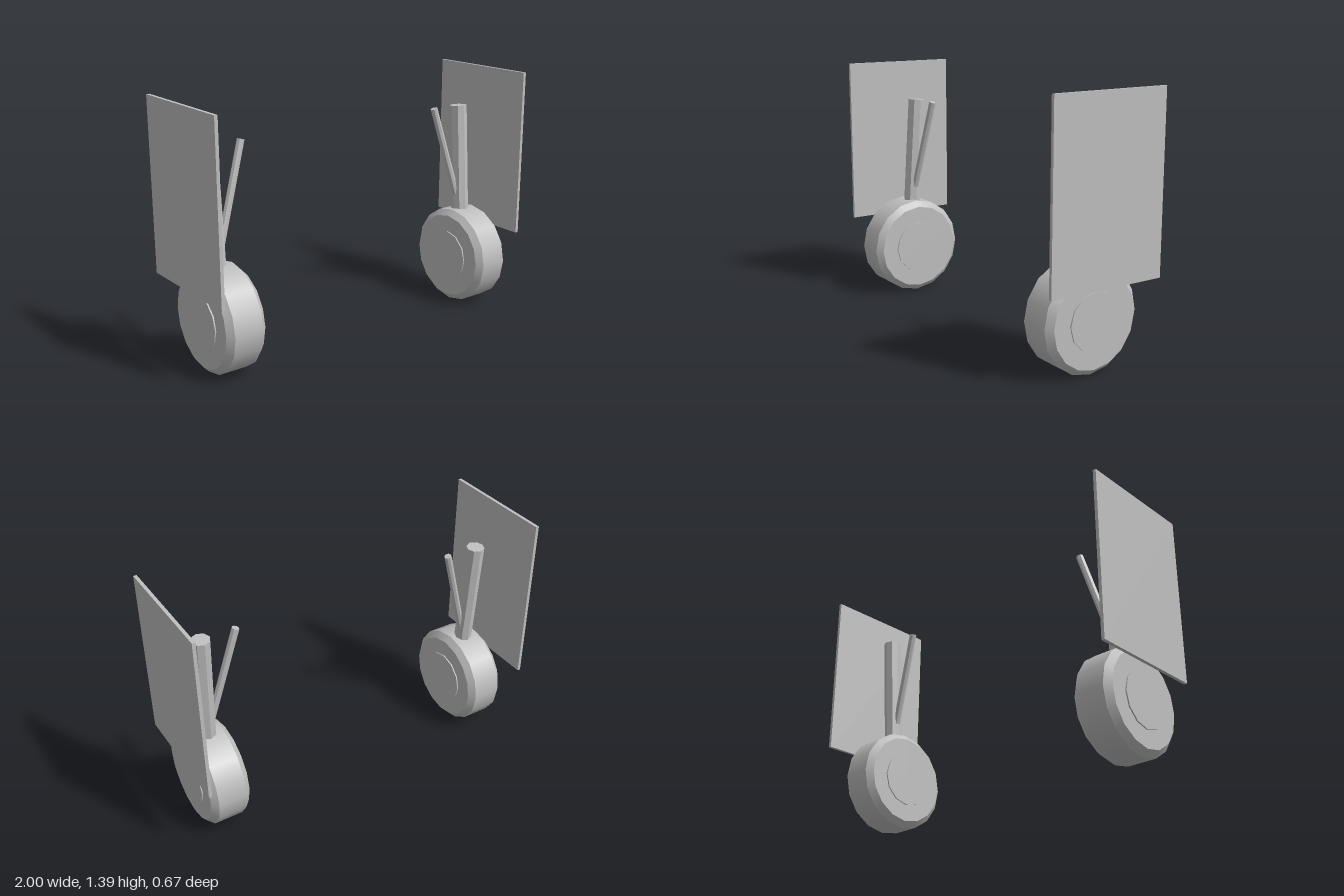
import * as THREE from 'three';

const grey = new THREE.MeshStandardMaterial({ color: 0xbfbfbf });
grey.name = 'grey metal';

function add(parent, name, geometry) {
  const mesh = new THREE.Mesh(geometry, grey);
  mesh.name = name;
  parent.add(mesh);
  return mesh;
}

// Faceted rod between two points
function rod(parent, name, from, to, radius) {
  const a = new THREE.Vector3(...from), b = new THREE.Vector3(...to);
  const dir = b.clone().sub(a);
  const geometry = new THREE.CylinderGeometry(radius, radius, dir.length(), 8).toNonIndexed();
  geometry.computeVertexNormals();
  const mesh = add(parent, name, geometry);
  mesh.quaternion.setFromUnitVectors(new THREE.Vector3(0, 1, 0), dir.normalize());
  mesh.position.copy(a).add(b).multiplyScalar(0.5);
}

// Cylinder lying along x, from x0 (radius r0) to x1 (radius r1)
function disc(x0, r0, x1, r1, sides, open = false) {
  return new THREE.CylinderGeometry(r1, r0, x1 - x0, sides, 1, open)
    .rotateZ(-Math.PI / 2)
    .translate((x0 + x1) / 2, 0, 0);
}

function buildWheel() {
  const wheel = new THREE.Group();
  wheel.name = 'wheel';
  add(wheel, 'tread', disc(-0.08, 0.28, 0.08, 0.28, 16, true));
  add(wheel, 'outerShoulder', disc(0.08, 0.28, 0.112, 0.247, 16));
  add(wheel, 'innerShoulder', disc(-0.112, 0.247, -0.08, 0.28, 16));
  add(wheel, 'hub', disc(-0.119, 0.152, 0.119, 0.152, 12));
  return wheel;
}

function buildGear(side, name) {
  const gear = new THREE.Group();
  gear.name = name;

  const wheel = buildWheel();
  wheel.position.set(side * 0.836, 0.28, 0.028);
  gear.add(wheel);

  // Raked main strut and the brace leaning inward from it
  rod(gear, 'mainStrut', [side * 0.836, 0.28, 0.028], [side * 0.836, 1.17, -0.033], 0.05);
  rod(gear, 'sideBrace', [side * 0.836, 0.54, 0.01], [side * 0.647, 1.17, -0.033], 0.02);

  // Flat door outboard of the wheel
  add(gear, 'door', new THREE.BoxGeometry(0.018, 0.94, 0.668))
    .position.set(side * 0.991, 0.92, 0);
  return gear;
}

export function createModel() {
  const model = new THREE.Group();
  model.name = 'landingGear';
  model.add(buildGear(1, 'leftGear'), buildGear(-1, 'rightGear'));
  return model;
}
